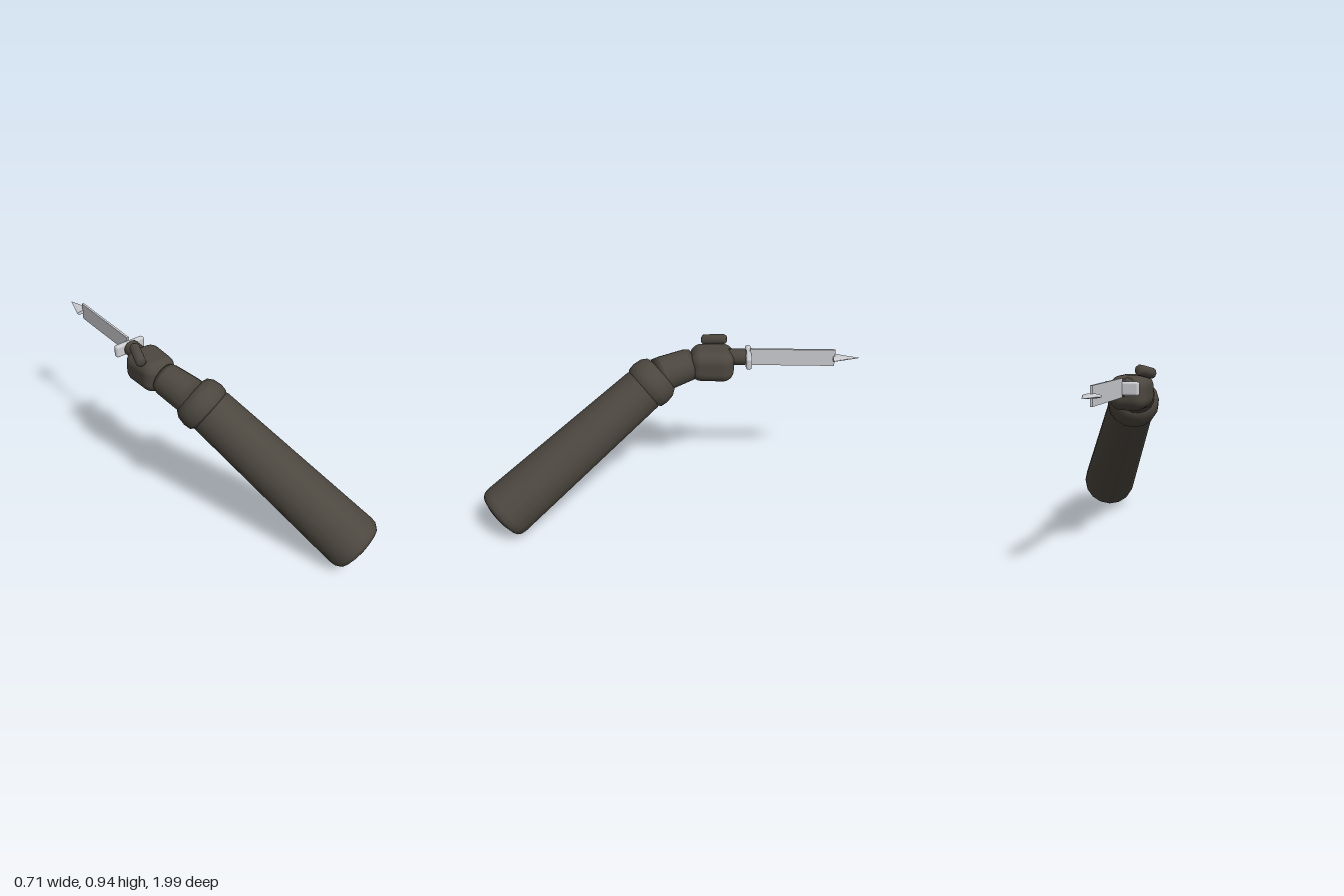
import * as THREE from 'three';
import { RoundedBoxGeometry } from 'three/addons/geometries/RoundedBoxGeometry.js';

export function createModel() {
  const model = new THREE.Group();
  const cloth = new THREE.MeshStandardMaterial({ name: 'darkCloth', color: 0x4c473f });
  const steel = new THREE.MeshStandardMaterial({ name: 'steel', color: 0xcbccd0 });

  function add(name, geometry, material, position) {
    const mesh = new THREE.Mesh(geometry, material);
    mesh.name = name;
    mesh.position.set(...position);
    model.add(mesh);
    return mesh;
  }

  // Rounded limb: profile lists [radius, fraction of length] from start to end
  function limb(name, start, end, profile, sides = 16) {
    const a = new THREE.Vector3(...start);
    const axis = new THREE.Vector3(...end).sub(a);
    const points = profile.map(([r, t]) => new THREE.Vector2(r, t * axis.length()));
    const mesh = add(name, new THREE.LatheGeometry(points, sides), cloth, start);
    mesh.quaternion.setFromUnitVectors(new THREE.Vector3(0, 1, 0), axis.normalize());
  }

  // Arm
  limb('sleeve', [0.22, 0.115, 0.9], [-0.15, 0.71, 0.13],
    [[0, -0.012], [0.1, -0.01], [0.135, 0], [0.149, 0.02], [0.153, 0.05], [0.123, 0.97], [0.11, 1], [0, 1]]);
  limb('cuff', [-0.145, 0.69, 0.15], [-0.19, 0.765, 0.055],
    [[0, 0], [0.115, 0], [0.132, 0.12], [0.137, 0.4], [0.13, 0.75], [0.11, 0.98], [0.085, 1.04], [0, 1.04]]);
  limb('wrist', [-0.19, 0.75, 0.08], [-0.247, 0.805, -0.12],
    [[0, 0], [0.093, 0], [0.095, 0.2], [0.086, 0.85], [0.075, 0.97], [0, 1]]);

  // Closed hand, narrowing slightly toward the wrist
  const fist = new RoundedBoxGeometry(0.195, 0.172, 0.235, 5, 0.06);
  const p = fist.attributes.position;
  for (let i = 0; i < p.count; i++) {
    const k = 1 - 0.1 * Math.max(0, p.getZ(i) / 0.12);
    p.setX(i, p.getX(i) * k);
  }
  fist.computeBoundingBox();
  add('hand', fist, cloth, [-0.248, 0.805, -0.213]);
  limb('thumb', [-0.338, 0.895, -0.16], [-0.298, 0.921, -0.286],
    [[0, 0], [0.02, 0], [0.028, 0.07], [0.028, 0.9], [0.02, 1], [0, 1]], 10);

  // Knife
  limb('handle', [-0.25, 0.84, -0.26], [-0.25, 0.84, -0.395],
    [[0, 0], [0.044, 0], [0.044, 0.95], [0.038, 1], [0, 1]], 12);
  add('guard', new RoundedBoxGeometry(0.175, 0.068, 0.032, 3, 0.013), steel, [-0.25, 0.838, -0.407]);
  add('blade', new THREE.BoxGeometry(0.012, 0.093, 0.45), steel, [-0.25, 0.842, -0.64]);

  // Flattened cone lying across the blade
  const tip = new THREE.ConeGeometry(0.045, 0.145, 16).rotateX(-Math.PI / 2).scale(1, 0.25, 1);
  add('bladeTip', tip, steel, [-0.25, 0.842, -0.9275]);

  return model;
}
